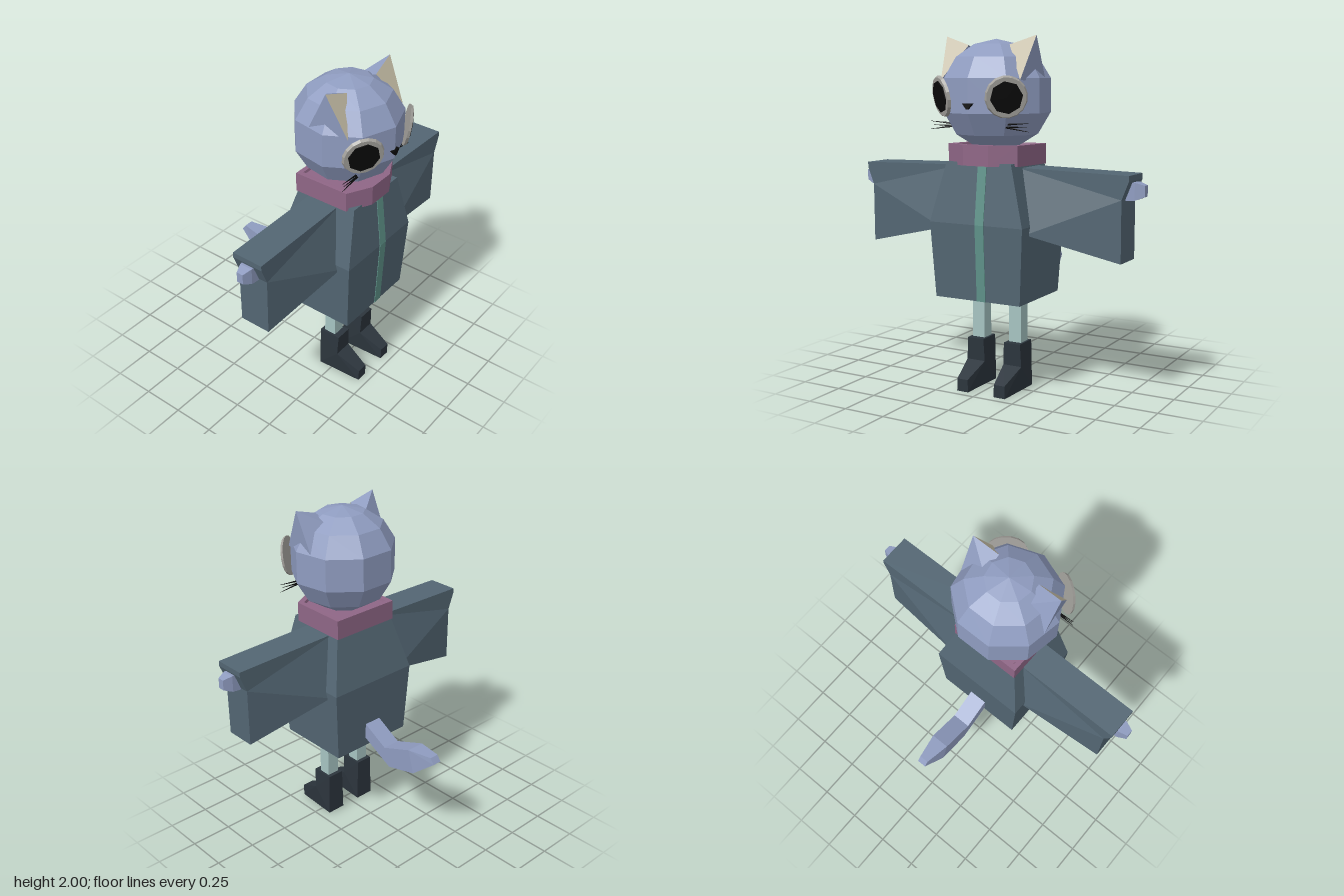
import * as THREE from 'three';

const mat = (color) => new THREE.MeshStandardMaterial({ color, flatShading: true, side: THREE.DoubleSide });
const FUR = mat(0x8f9cc0), COAT = mat(0x536673), SCARF = mat(0x8f6686), STRIPE = mat(0x5f938a);
const SKIN = mat(0xa6c4c2), BOOT = mat(0x2c353d), EAR = mat(0xc5bda6), RIM = mat(0xa5a39e), BLACK = mat(0x0a0a0a);

// Flat-shaded geometry from a flat list of corner points, three per triangle
function fromTriangles(points) {
  const g = new THREE.BufferGeometry();
  g.setAttribute('position', new THREE.Float32BufferAttribute(points.flat(), 3));
  g.computeVertexNormals();
  return g;
}

// Joins rings of equal point count, caps both ends and turns the faces outward
function loft(rings) {
  const tris = [], n = rings[0].length, last = rings[rings.length - 1];
  for (let k = 0; k < rings.length - 1; k++) {
    for (let i = 0; i < n; i++) {
      const j = (i + 1) % n, a = rings[k], b = rings[k + 1];
      tris.push([a[i], a[j], b[j]], [a[i], b[j], b[i]]);
    }
  }
  for (let i = 1; i < n - 1; i++) {
    tris.push([rings[0][0], rings[0][i + 1], rings[0][i]], [last[0], last[i], last[i + 1]]);
  }
  let volume = 0;
  for (const [a, b, c] of tris) {
    volume += new THREE.Vector3(...a).dot(new THREE.Vector3(...b).cross(new THREE.Vector3(...c)));
  }
  return fromTriangles(tris.flatMap(([a, b, c]) => (volume < 0 ? [a, c, b] : [a, b, c])));
}

// Horizontal rectangle at height y
const rect = (y, x0, x1, w) => [[x0, y, w], [x1, y, w], [x1, y, -w], [x0, y, -w]];

export function createModel() {
  const model = new THREE.Group();
  const add = (name, geometry, material, parent = model) => {
    const mesh = new THREE.Mesh(geometry, material);
    mesh.name = name;
    parent.add(mesh);
    return mesh;
  };

  // Head: faceted ball with a ridge at the front
  const profile = [[0, 1.375], [0.13, 1.395], [0.235, 1.46], [0.305, 1.58], [0.305, 1.77], [0.235, 1.885], [0.13, 1.955], [0, 1.985]];
  const head = new THREE.LatheGeometry(profile.map(([r, y]) => new THREE.Vector2(r, y)), 9, Math.PI / 2);
  head.translate(0.23, 0, 0);
  add('head', head, FUR);

  // Nose
  const nose = (x) => [[x, 1.635, 0.03], [x, 1.635, -0.03], [x, 1.605, -0.006], [x, 1.605, 0.006]];
  add('nose', loft([nose(0.51), nose(0.545)]), BLACK);

  // Coat body and front stripe
  add('coat', loft([rect(0.54, -0.01, 0.45, 0.27), rect(0.97, -0.03, 0.47, 0.295), rect(1.31, 0.055, 0.43, 0.205)]), COAT);
  const stripe = (y, x) => [[x - 0.02, y, 0], [x + 0.004, y, 0], [x + 0.004, y, -0.055], [x - 0.02, y, -0.055]];
  add('stripe', loft([stripe(0.54, 0.45), stripe(0.97, 0.47), stripe(1.31, 0.43)]), STRIPE);

  // Collar: square at the back, chamfered at the front
  const collar = (y, k) => [[0.04, 0.215], [0.385, 0.22], [0.46, 0.08], [0.46, -0.08], [0.385, -0.22], [0.04, -0.215]]
    .map(([x, z]) => [0.23 + (x - 0.23) * k, y + x * 0.02, z * k]);
  add('collar', loft([collar(1.285, 1), collar(1.4, 1), collar(1.4, 0.86), collar(1.385, 0.84)]), SCARF);

  // Tail
  const tail = [[0.05, 0.73, 0.05, 0.63, 0.055], [-0.18, 0.6, -0.22, 0.485, 0.055],
    [-0.38, 0.675, -0.42, 0.535, 0.055], [-0.53, 0.68, -0.555, 0.645, 0.028]];
  add('tail', loft(tail.map(([xt, yt, xb, yb, w]) => [[xt, yt, w], [xt, yt, -w], [xb, yb, -w], [xb, yb, w]])), FUR);

  for (const s of [1, -1]) {
    const side = new THREE.Group();
    side.name = s > 0 ? 'leftSide' : 'rightSide';
    model.add(side);

    // Sleeve: side outline [z, y, half thickness], flaring towards the body
    const outline = [[0.8, 1.14, 0.095], [0.84, 1.24, 0.095], [0.84, 1.27, 0.095],
      [0.18, 1.283, 0.095], [0.27, 0.925, 0.17], [0.8, 0.8, 0.093]];
    add('sleeve', loft([-1, 1].map((d) => outline.map(([z, y, h]) => [0.22 + d * h, y, z * s]))), COAT, side);

    // Hand
    const hand = [[0.78, 0.04, 1.13, 1.23], [0.85, 0.038, 1.135, 1.23], [0.9, 0.02, 1.155, 1.215]];
    add('hand', loft(hand.map(([z, w, y0, y1]) =>
      [[0.22 - w, y0, z * s], [0.22 + w, y0, z * s], [0.22 + w, y1, z * s], [0.22 - w, y1, z * s]])), FUR, side);

    // Leg and boot
    const z = s > 0 ? 0.1 : -0.14;
    const leg = new THREE.BoxGeometry(0.075, 0.32, 0.078);
    leg.translate(0.23, 0.42, z);
    add('leg', leg, SKIN, side);
    const boot = [[0.3, 0.15, 0.058], [0.305, 0.28, 0.052], [0.17, 0.28, 0.052],
      [0.17, 0.012, 0.058], [0.45, 0.003, 0.036], [0.45, 0.075, 0.034]];
    add('boot', loft([-1, 1].map((d) => boot.map(([x, y, w]) => [x, y, z + d * w]))), BOOT, side);

    // Ear: four-sided point with a pale inner face
    const tip = [0.29, 2.0, 0.285 * s], a = [0.19, 1.91, 0.13 * s], b = [0.31, 1.95, 0.13 * s];
    const c = [0.41, 1.76, 0.25 * s], d = [0.17, 1.75, 0.28 * s];
    const turn = (p, q, r) => (s > 0 ? [p, q, r] : [p, r, q]);
    add('ear', fromTriangles([...turn(tip, b, a), ...turn(tip, d, c), ...turn(tip, a, d)]), FUR, side);
    add('innerEar', fromTriangles(turn(tip, c, b)), EAR, side);

    // Eye: thin rim with a dark disc in front
    const eye = new THREE.Group();
    eye.name = 'eye';
    add('eyeRim', new THREE.CylinderGeometry(0.108, 0.116, 0.016, 16), RIM, eye);
    add('pupil', new THREE.CylinderGeometry(0.088, 0.088, 0.012, 8), BLACK, eye).position.y = 0.008;
    eye.position.set(0.478, 1.67, 0.205 * s);
    eye.quaternion.setFromUnitVectors(new THREE.Vector3(0, 1, 0), new THREE.Vector3(0.8, -0.17, 0.58 * s).normalize());
    side.add(eye);

    // Whiskers
    for (const [z0, y0, z1, y1] of [[0.14, 1.52, 0.31, 1.532], [0.13, 1.508, 0.3, 1.512], [0.15, 1.51, 0.31, 1.487]]) {
      const from = new THREE.Vector3(0.42, y0, z0 * s), to = new THREE.Vector3(0.425, y1, z1 * s);
      const whisker = add('whisker', new THREE.CylinderGeometry(0.001, 0.007, from.distanceTo(to), 5), BLACK, side);
      whisker.position.copy(from).lerp(to, 0.5);
      whisker.quaternion.setFromUnitVectors(new THREE.Vector3(0, 1, 0), to.sub(from).normalize());
    }
  }
  return model;
}
